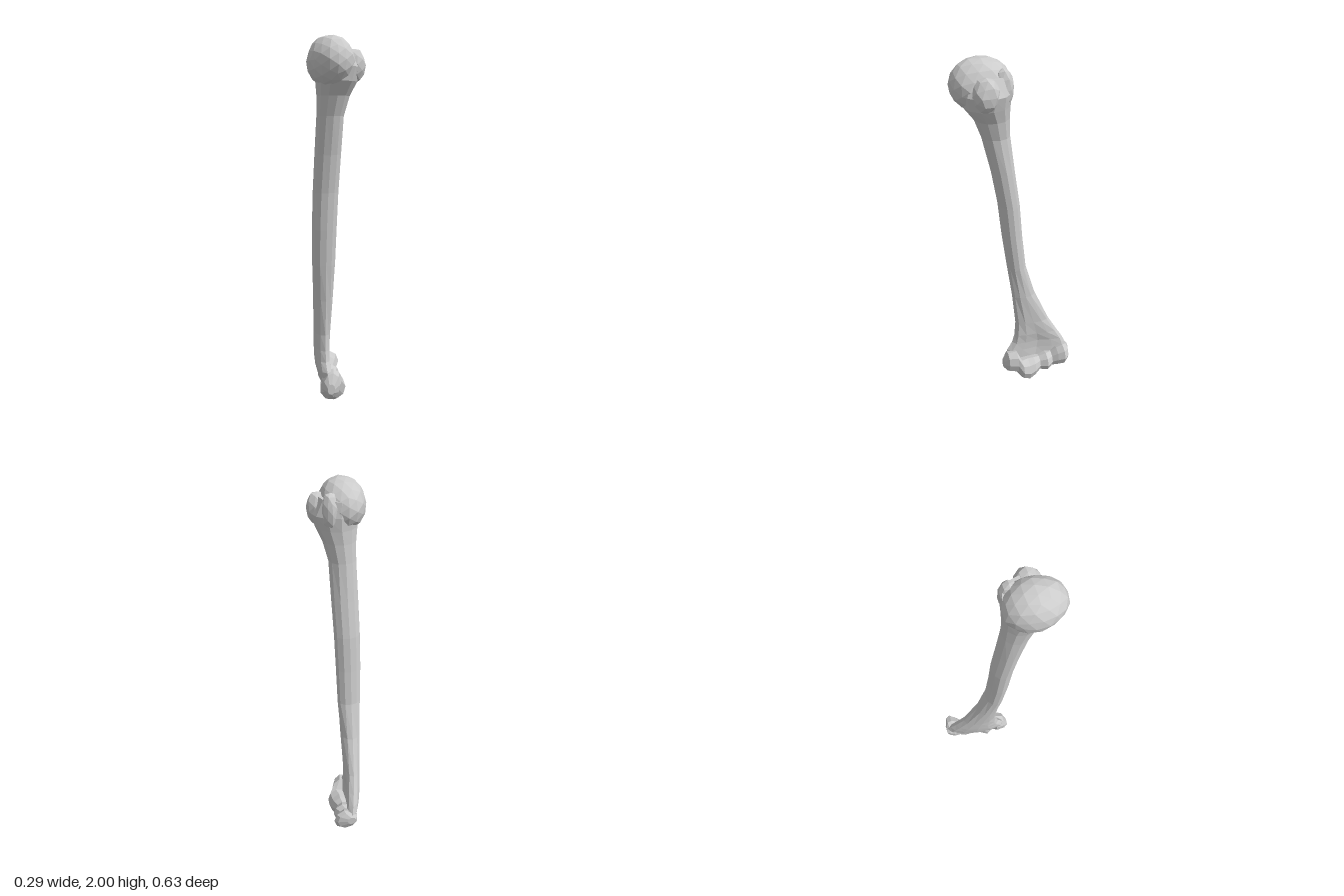
import * as THREE from 'three';

const material = new THREE.MeshStandardMaterial({ color: 0xcccccc, flatShading: true });

// Skin a list of point rings and close both ends with fans
function loft(rings) {
  const n = rings[0].length, pos = [], index = [];
  rings.forEach(r => r.forEach(p => pos.push(...p)));
  for (let i = 0; i < rings.length - 1; i++) {
    for (let j = 0; j < n; j++) {
      const a = i * n + j, b = i * n + (j + 1) % n, c = a + n, d = b + n;
      index.push(a, c, d, a, d, b);
    }
  }
  const cap = (ring, start, flip) => {
    const mid = [0, 1, 2].map(k => ring.reduce((s, p) => s + p[k], 0) / n);
    const m = pos.length / 3;
    pos.push(...mid);
    for (let j = 0; j < n; j++) {
      const a = start + j, b = start + (j + 1) % n;
      index.push(m, flip ? b : a, flip ? a : b);
    }
  };
  cap(rings[0], 0, false);
  cap(rings[rings.length - 1], (rings.length - 1) * n, true);
  const g = new THREE.BufferGeometry();
  g.setAttribute('position', new THREE.Float32BufferAttribute(pos, 3));
  g.setIndex(index);
  g.computeVertexNormals();
  return g;
}

// Faceted, slightly uneven ellipsoid
function knob(center, radii, detail, rough) {
  const g = new THREE.IcosahedronGeometry(1, detail), p = g.attributes.position;
  for (let i = 0; i < p.count; i++) {
    const [x, y, z] = [p.getX(i), p.getY(i), p.getZ(i)];
    const s = 1 + rough * Math.sin(5 * x + 2 * y) * Math.cos(4 * z - 3 * y);
    p.setXYZ(i, center[0] + x * radii[0] * s, center[1] + y * radii[1] * s, center[2] + z * radii[2] * s);
  }
  g.computeVertexNormals();
  return g;
}

export function createModel() {
  const group = new THREE.Group();
  const add = (name, geometry) => {
    const mesh = new THREE.Mesh(geometry, material);
    mesh.name = name;
    group.add(mesh);
  };

  // Shaft: y, x min, x max, z back, z front, hollow on the +x face, x lean per z
  const shaft = [
    [0.12, -0.02, 0.06, -0.29, 0.05, 0.8, -0.15],
    [0.20, -0.04, 0.065, -0.312, 0.045, 0.85, -0.15],
    [0.25, -0.045, 0.06, -0.29, 0.012, 0.75, -0.15],
    [0.31, -0.05, 0.055, -0.255, -0.002, 0.5, -0.12],
    [0.40, -0.055, 0.045, -0.205, -0.008, 0.25, -0.08],
    [0.60, -0.07, 0.043, -0.122, 0.012, 0.1, 0],
    [0.80, -0.085, 0.044, -0.067, 0.038, 0, 0],
    [1.00, -0.092, 0.046, -0.046, 0.064, 0, 0],
    [1.20, -0.092, 0.05, -0.03, 0.086, 0, 0],
    [1.40, -0.09, 0.055, -0.002, 0.122, 0, 0],
    [1.60, -0.088, 0.058, 0.022, 0.17, 0, 0],
    [1.70, -0.093, 0.082, 0.028, 0.208, 0, 0],
    [1.77, -0.105, 0.112, 0.027, 0.26, 0, 0],
    [1.84, -0.12, 0.135, 0.022, 0.275, 0, 0],
    [1.92, -0.09, 0.095, 0.03, 0.25, 0, 0],
  ];
  const sides = 12;
  add('shaft', loft(shaft.map(([y, x0, x1, z0, z1, hollow, lean]) =>
    Array.from({ length: sides }, (_, j) => {
      const a = j / sides * Math.PI * 2, c = Math.cos(a), s = Math.sin(a);
      const dz = s * (z1 - z0) / 2;
      const dent = c > 0 ? 1 - hollow * c ** 3 : 1;
      return [(x0 + x1) / 2 + c * dent * (x1 - x0) / 2 + lean * dz, y, (z0 + z1) / 2 + dz];
    }))));

  // Rounded head and the bumps beside it
  add('head', knob([-0.03, 1.868, 0.165], [0.12, 0.132, 0.153], 2, 0.025));
  add('greaterTubercle', knob([0.088, 1.85, 0.172], [0.06, 0.088, 0.068], 1, 0.06));
  add('lesserTubercle', knob([0.05, 1.86, 0.075], [0.045, 0.1, 0.052], 1, 0.05));

  // Lower joint, a spool along z: z, centre x, centre y, radius x, radius y
  const joint = [
    [0.073, 0.0, 0.115, 0.022, 0.03],
    [0.05, 0.01, 0.13, 0.048, 0.07],
    [0.0, 0.02, 0.13, 0.06, 0.08],
    [-0.025, 0.05, 0.088, 0.06, 0.066],
    [-0.065, 0.04, 0.077, 0.072, 0.077],
    [-0.10, 0.045, 0.09, 0.062, 0.065],
    [-0.135, 0.045, 0.102, 0.044, 0.05],
    [-0.175, 0.055, 0.112, 0.061, 0.06],
    [-0.21, 0.045, 0.118, 0.052, 0.052],
    [-0.24, 0.06, 0.138, 0.058, 0.062],
    [-0.275, 0.068, 0.155, 0.07, 0.068],
    [-0.3, 0.065, 0.165, 0.058, 0.055],
    [-0.318, 0.045, 0.172, 0.025, 0.025],
  ];
  add('lowerJoint', loft(joint.map(([z, cx, cy, rx, ry]) =>
    Array.from({ length: 9 }, (_, j) => {
      const a = j / 9 * Math.PI * 2;
      return [cx + rx * Math.cos(a), cy + ry * Math.sin(a), z];
    }))));

  return group;
}
